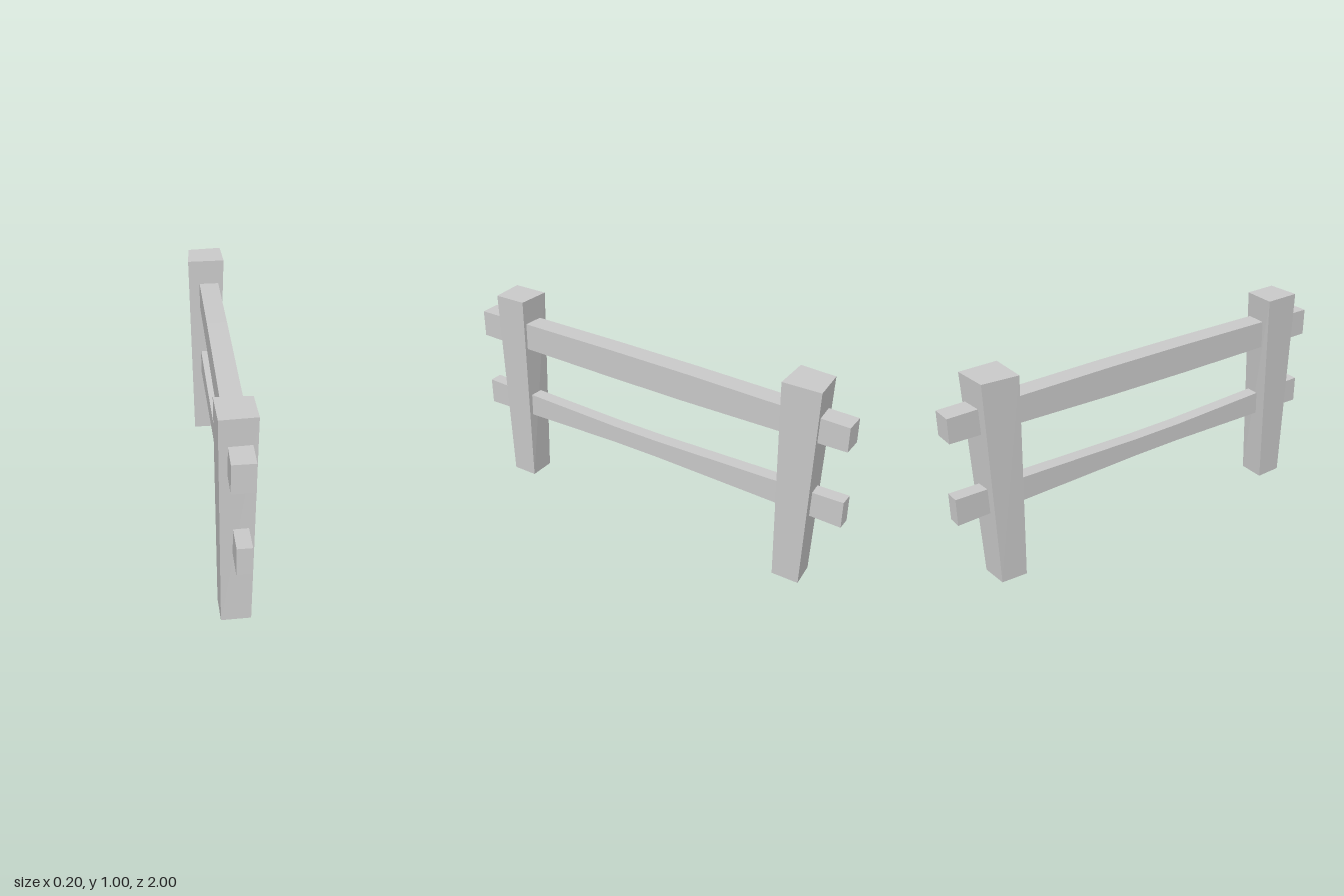
import * as THREE from 'three';

const material = new THREE.MeshStandardMaterial({ color: 0xcccccc, flatShading: true });

// Skins a list of four-cornered rings and caps both ends.
function loft(name, rings) {
  const pos = [];
  const quad = (a, b, c, d) => [a, b, c, a, c, d].forEach((p) => pos.push(...p));
  for (let s = 0; s < rings.length - 1; s++) {
    for (let i = 0; i < 4; i++) {
      const j = (i + 1) % 4;
      quad(rings[s][i], rings[s][j], rings[s + 1][j], rings[s + 1][i]);
    }
  }
  const [a, b, c, d] = rings[0];
  quad(d, c, b, a);
  quad(...rings[rings.length - 1]);
  const geometry = new THREE.BufferGeometry();
  geometry.setAttribute('position', new THREE.Float32BufferAttribute(pos, 3));
  geometry.computeVertexNormals();
  const mesh = new THREE.Mesh(geometry, material);
  mesh.name = name;
  return mesh;
}

// Post: [x, z] corners at the foot and at the top.
function post(name, foot, top) {
  return loft(name, [foot.map(([x, z]) => [x, 0, z]), top.map(([x, z]) => [x, 1.005, z])]);
}

// Rail: rows of [z, left x, right x, low y, high y], from back to front.
function rail(name, rows) {
  return loft(name, rows.map(([z, x0, x1, y0, y1]) => [[x0, y0, z], [x1, y0, z], [x1, y1, z], [x0, y1, z]]));
}

export function createModel() {
  const fence = new THREE.Group();
  fence.name = 'fence';

  // Tapered, slightly crooked posts
  fence.add(post('frontPost',
    [[-0.09, 0.733], [-0.09, 0.865], [0.04, 0.863], [0.04, 0.735]],
    [[-0.105, 0.705], [-0.105, 0.882], [0.053, 0.875], [0.053, 0.715]]));
  fence.add(post('backPost',
    [[-0.048, -0.832], [-0.058, -0.71], [0.08, -0.71], [0.08, -0.842]],
    [[-0.067, -0.86], [-0.083, -0.692], [0.1, -0.692], [0.1, -0.873]]));

  // Rails running through both posts
  fence.add(rail('topRail', [
    [-1, -0.017, 0.08, 0.76, 0.875],
    [-0.2, -0.037, 0.06, 0.747, 0.887],
    [0.2, -0.048, 0.049, 0.746, 0.888],
    [1, -0.07, 0.028, 0.752, 0.883],
  ]));
  fence.add(rail('bottomRail', [
    [-1, -0.015, 0.05, 0.36, 0.49],
    [-0.05, -0.03, 0.035, 0.38, 0.468],
    [0.2, -0.034, 0.031, 0.38, 0.468],
    [1, -0.045, 0.02, 0.36, 0.49],
  ]));
  return fence;
}
